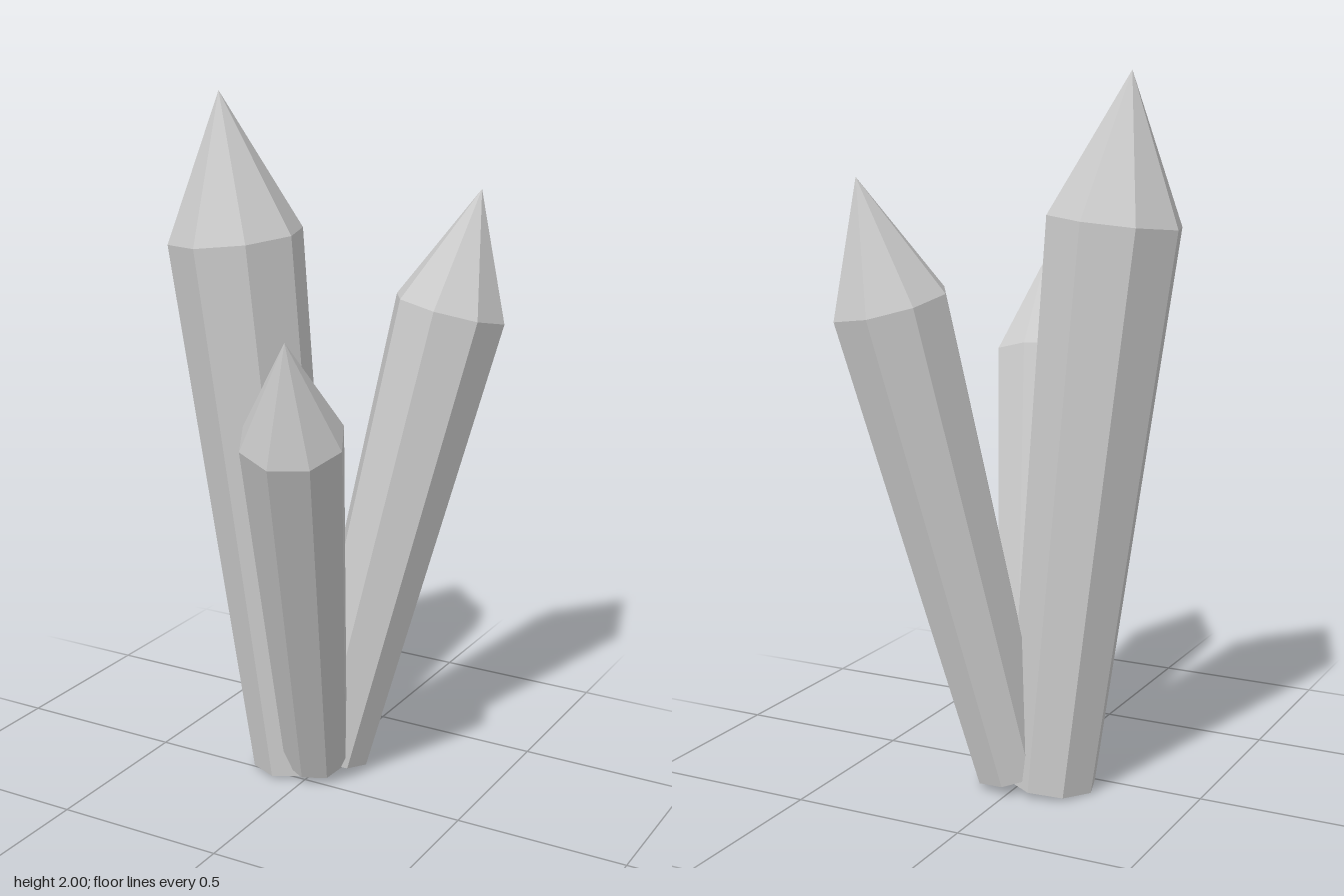
import * as THREE from 'three';

const UP = new THREE.Vector3(0, 1, 0);

// Eight-sided shard: closed base, widening shaft, pointed tip over the top fifth
function crystal(name, base, tip, baseRadius, shoulderRadius, twistDegrees) {
  const start = new THREE.Vector3(...base);
  const axis = new THREE.Vector3(...tip).sub(start);
  const length = axis.length();
  const profile = [
    [0, 0],
    [baseRadius, 0],
    [shoulderRadius, length * 0.8],
    [0, length],
  ].map(([r, y]) => new THREE.Vector2(r, y));

  const geometry = new THREE.LatheGeometry(profile, 8).toNonIndexed();
  geometry.rotateY(-THREE.MathUtils.degToRad(twistDegrees));
  geometry.computeVertexNormals();

  const material = new THREE.MeshStandardMaterial({ color: 0xcccccc, flatShading: true });
  const mesh = new THREE.Mesh(geometry, material);
  mesh.name = name;
  mesh.position.copy(start);
  mesh.quaternion.setFromUnitVectors(UP, axis.normalize());
  return mesh;
}

export function createModel() {
  const group = new THREE.Group();
  group.name = 'crystalCluster';
  // Three shards fanning out from a shared root
  group.add(
    crystal('tallCrystal', [-0.08, 0.014, -0.09], [-0.27, 2, 0], 0.13, 0.191, 5),
    crystal('backCrystal', [0.022, 0.045, -0.125], [0.335, 1.725, -0.41], 0.112, 0.164, -8),
    crystal('frontCrystal', [0.005, 0.058, -0.058], [0.21, 1.445, 0.465], 0.097, 0.142, -3),
  );
  return group;
}
